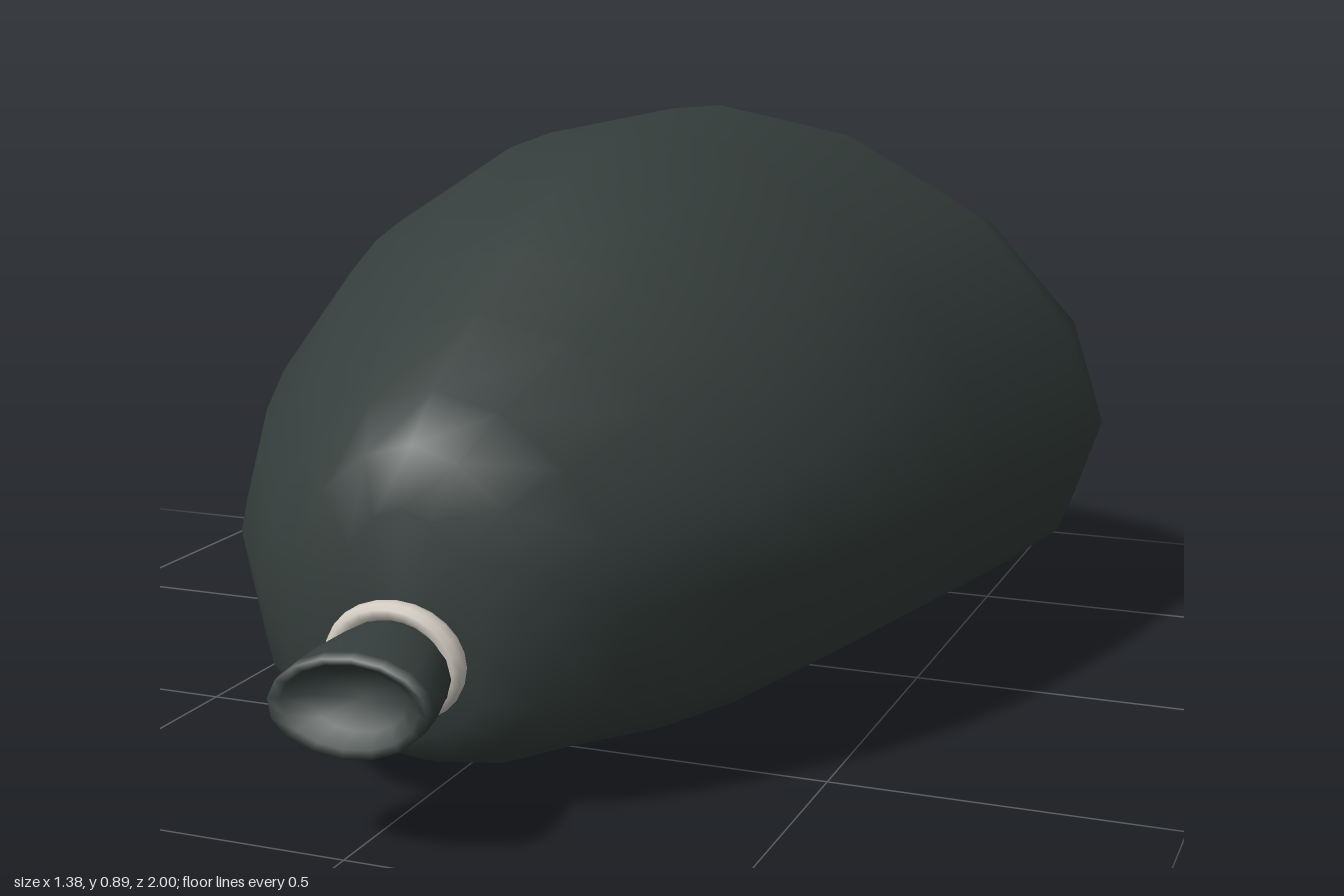
import * as THREE from 'three';

const SIDES = 16;
const power = (v, p) => Math.sign(v) * Math.abs(v) ** p;

// Closed skin through rings [z, top, widest y, bottom, half width, tilt], ordered back to front,
// with a pole point [y, z] at each end.
function loft(rings, back, front, pUp, pLow, pWide) {
  const pos = [], index = [];
  for (const [z, top, mid, bottom, half, tilt = 0] of rings) {
    for (let i = 0; i < SIDES; i++) {
      const a = (i / SIDES) * Math.PI * 2, s = Math.sin(a), c = Math.cos(a);
      const y = c >= 0 ? mid + (top - mid) * power(c, pUp) : mid + (mid - bottom) * power(c, pLow);
      pos.push(half * power(s, pWide), y, z - tilt * c);
    }
  }
  const b = rings.length * SIDES, f = b + 1, last = b - SIDES;
  pos.push(0, back[0], back[1], 0, front[0], front[1]);
  for (let i = 0; i < SIDES; i++) {
    const j = (i + 1) % SIDES;
    for (let r = 0; r < last; r += SIDES) {
      index.push(r + i, r + SIDES + i, r + j, r + j, r + SIDES + i, r + SIDES + j);
    }
    index.push(b, i, j, f, last + j, last + i);
  }
  const g = new THREE.BufferGeometry();
  g.setAttribute('position', new THREE.Float32BufferAttribute(pos, 3));
  g.setIndex(index);
  g.computeVertexNormals();
  return g;
}

export function createModel() {
  const plastic = new THREE.MeshStandardMaterial({ name: 'dark plastic', color: 0x343d3b });
  const cord = new THREE.MeshStandardMaterial({ name: 'pale cord', color: 0xcfc8be });
  const group = new THREE.Group();
  group.name = 'tiedBag';
  const add = (name, geometry, material) => {
    const mesh = new THREE.Mesh(geometry, material);
    mesh.name = name;
    group.add(mesh);
    return mesh;
  };

  // Slumped sack lying on its side, flat underneath
  add('sack', loft([
    [-0.985, 0.28, 0.19, 0.11, 0.11],
    [-0.94, 0.42, 0.21, 0.06, 0.28],
    [-0.85, 0.59, 0.25, 0.03, 0.45],
    [-0.70, 0.765, 0.30, 0.013, 0.615],
    [-0.58, 0.845, 0.325, 0.008, 0.68],
    [-0.44, 0.88, 0.33, 0.003, 0.69],
    [-0.20, 0.89, 0.33, 0.003, 0.65],
    [0.00, 0.88, 0.33, 0.01, 0.61],
    [0.13, 0.855, 0.33, 0.012, 0.58],
    [0.27, 0.81, 0.32, 0.012, 0.54],
    [0.42, 0.73, 0.31, 0.012, 0.48],
    [0.57, 0.65, 0.30, 0.02, 0.40],
    [0.72, 0.57, 0.28, 0.04, 0.285],
    [0.79, 0.51, 0.27, 0.07, 0.20],
    [0.82, 0.43, 0.25, 0.11, 0.12],
  ], [0.19, -1], [0.24, 0.83], 1.12, 0.65, 1.1), plastic);

  // Cord tied around the neck
  const tie = add('tie', new THREE.TorusGeometry(0.088, 0.017, 10, 24), cord);
  tie.scale.y = 0.81;
  tie.position.set(0, 0.225, 0.847);

  // Gathered mouth, flaring out then folding into a shallow hollow
  add('mouth', loft([
    [0.82, 0.285, 0.22, 0.155, 0.085],
    [0.87, 0.285, 0.215, 0.146, 0.092],
    [0.92, 0.278, 0.21, 0.144, 0.108, 0.005],
    [0.965, 0.27, 0.206, 0.141, 0.117, 0.012],
    [0.985, 0.265, 0.203, 0.14, 0.116, 0.015],
    [0.978, 0.255, 0.203, 0.15, 0.1, 0.014],
    [0.95, 0.24, 0.203, 0.165, 0.07, 0.01],
  ], [0.22, 0.82], [0.203, 0.94], 1, 1, 1), plastic);

  return group;
}
